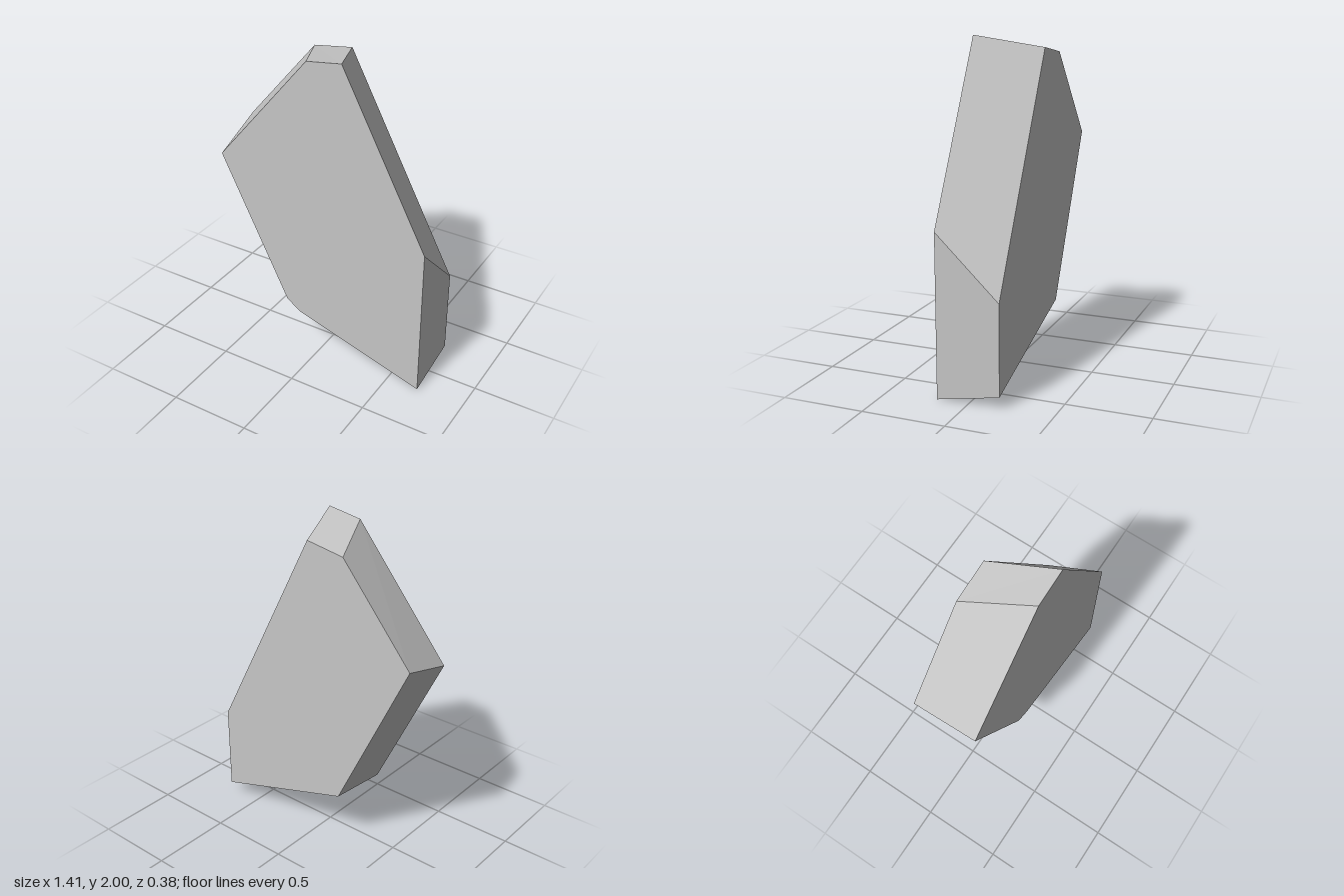
import * as THREE from 'three';

// Outlines (x, y), counterclockwise seen from the front; the back one pinches to a point at lower left.
const FRONT = [[0.703, 0], [0.703, 0.97], [0.163, 2], [-0.06, 1.967], [-0.672, 1.24], [-0.226, 0.325], [-0.13, 0.258]];
const BACK = [[0.703, 0.07], [0.703, 0.607], [0.008, 1.93], [-0.243, 1.892], [-0.703, 1.352], [-0.218, 0.356], [-0.218, 0.356]];
const HALF_DEPTH = 0.19;

function createShardGeometry() {
  const front = FRONT.map(([x, y]) => new THREE.Vector3(x, y, HALF_DEPTH));
  const back = BACK.map(([x, y]) => new THREE.Vector3(x, y, -HALF_DEPTH));
  const points = [];
  const triangle = (a, b, c) => {
    if (!a.equals(b) && !b.equals(c) && !c.equals(a)) points.push(a, b, c);
  };
  const n = front.length;

  // Flat front and back faces
  for (let i = 1; i < n - 1; i++) {
    triangle(front[0], front[i], front[i + 1]);
    triangle(back[0], back[i + 1], back[i]);
  }
  // Slanted facets around the rim
  for (let i = 0; i < n; i++) {
    const j = (i + 1) % n;
    triangle(front[i], back[i], back[j]);
    triangle(front[i], back[j], front[j]);
  }

  const geometry = new THREE.BufferGeometry().setFromPoints(points);
  geometry.computeVertexNormals();
  return geometry;
}

export function createModel() {
  const model = new THREE.Group();
  model.name = 'stoneShard';

  const stone = new THREE.MeshStandardMaterial({ color: 0xc6c6c6 });
  stone.name = 'light stone grey';
  stone.flatShading = true;

  const shard = new THREE.Mesh(createShardGeometry(), stone);
  shard.name = 'shard';
  model.add(shard);
  return model;
}
